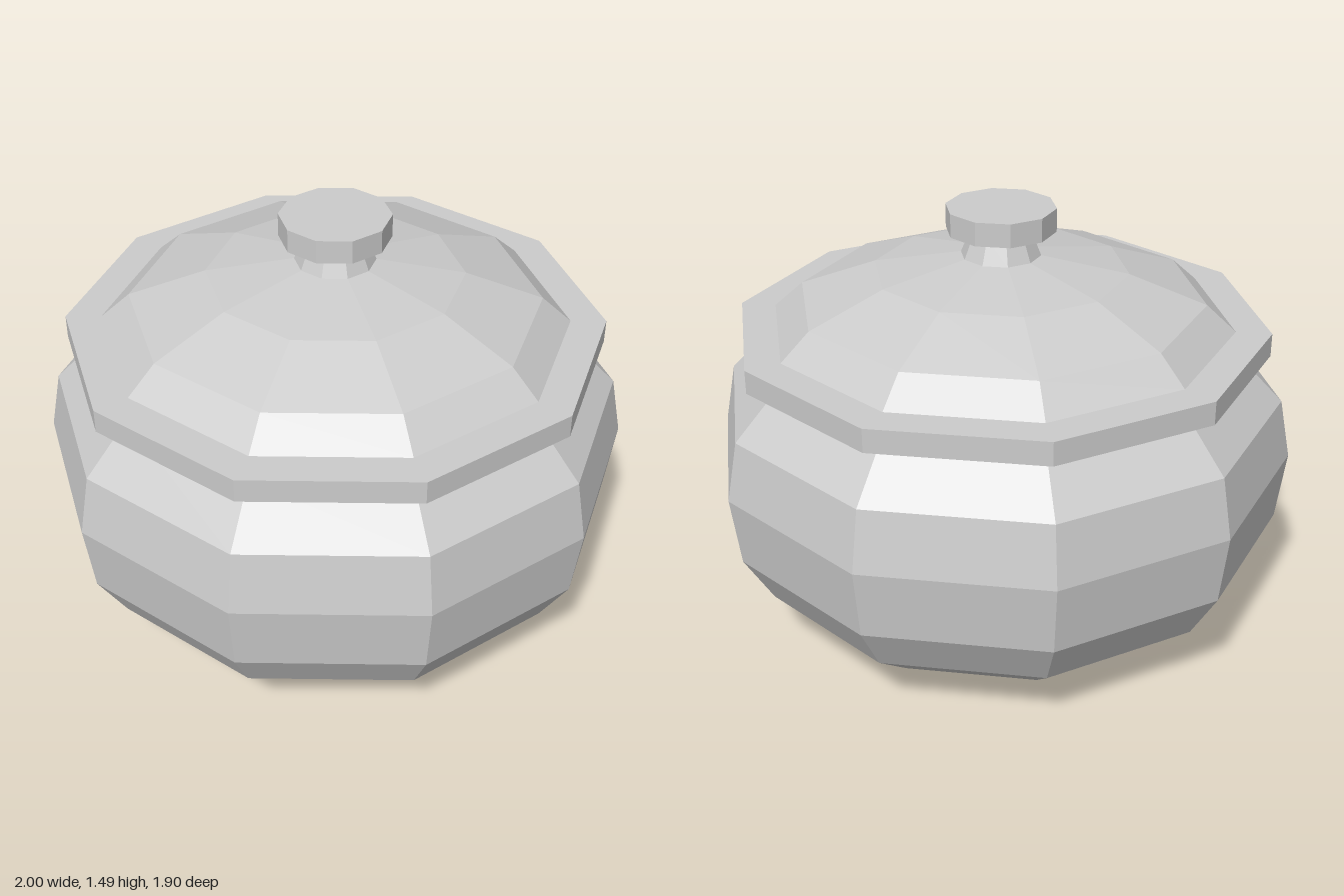
import * as THREE from 'three';

const SIDES = 10;
const material = new THREE.MeshStandardMaterial({ color: 0xcccccc, flatShading: true });

// Ten-sided turned part from [radius, height] pairs, bottom to top, with a corner on the x axis
function turned(name, profile) {
  const points = profile.map(([r, y]) => new THREE.Vector2(r, y));
  const mesh = new THREE.Mesh(new THREE.LatheGeometry(points, SIDES, Math.PI / 2), material);
  mesh.name = name;
  return mesh;
}

export function createModel() {
  const pot = new THREE.Group();
  pot.name = 'liddedPot';

  // Rounded bowl with a flat base
  pot.add(turned('bowl', [
    [0, 0], [0.535, 0], [0.705, 0.1], [0.87, 0.23], [0.97, 0.4],
    [1, 0.64], [0.96, 0.845], [0.8, 1.01],
  ]));

  // Lid: flat rim, shallow dome, tapered neck and knob
  const lid = new THREE.Group();
  lid.name = 'lid';
  lid.add(
    turned('rim', [[0, 1.01], [0.91, 1.01], [0.91, 1.09], [0.79, 1.09]]),
    turned('dome', [[0.79, 1.09], [0.69, 1.18], [0.43, 1.275], [0.135, 1.325]]),
    turned('neck', [[0.135, 1.325], [0.1, 1.41]]),
    turned('knob', [[0, 1.41], [0.185, 1.41], [0.185, 1.49], [0, 1.49]]),
  );
  pot.add(lid);

  return pot;
}
